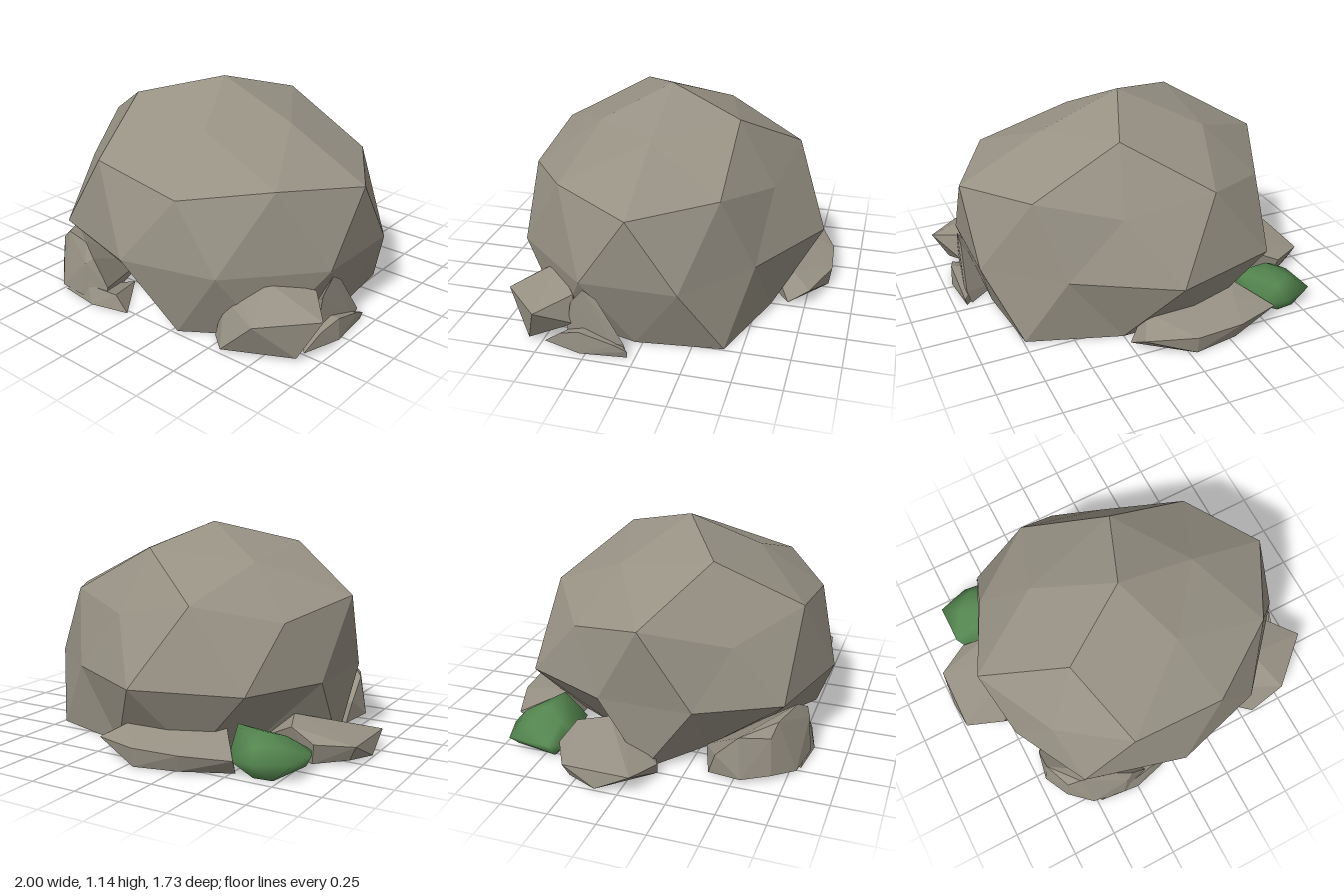
import * as THREE from 'three';
import { mergeVertices } from 'three/addons/utils/BufferGeometryUtils.js';
import { ConvexGeometry } from 'three/addons/geometries/ConvexGeometry.js';

const stone = new THREE.MeshStandardMaterial({ color: 0x979184, flatShading: true });
stone.name = 'stone';
const moss = new THREE.MeshStandardMaterial({ color: 0x54864f });
moss.name = 'moss green';

const hull = (points) => new ConvexGeometry(points.map((p) => new THREE.Vector3(...p)));

// Main boulder: faceted rings joined like a subdivided icosahedron, cut flat at the ground
function boulderGeometry() {
  const apex = [0.02, 1.14, 0.04];
  const crown = [[0.46, 0.97, 0.04], [0.18, 0.96, 0.39], [-0.38, 1.03, 0.29], [-0.37, 0.96, -0.21], [0.18, 1.02, -0.36]];
  const shoulder = [
    [0.915, 0.74, 0.04], [0.68, 0.785, 0.46], [0.28, 0.72, 0.73], [-0.24, 0.8, 0.73], [-0.58, 0.67, 0.45],
    [-0.805, 0.79, 0.04], [-0.62, 0.69, -0.37], [-0.23, 0.78, -0.63], [0.24, 0.69, -0.56], [0.65, 0.77, -0.36],
  ];
  const waist = [
    [0.9, 0.37, 0.29], [0.52, 0.37, 0.72], [0.02, 0.37, 0.86], [-0.53, 0.37, 0.71], [-0.75, 0.37, 0.3],
    [-0.75, 0.37, -0.2], [-0.55, 0.37, -0.65], [0.02, 0.37, -0.81], [0.53, 0.37, -0.52], [0.9, 0.37, -0.21],
  ];
  const foot = [
    [0.79, 0, 0.04], [0.66, 0, 0.48], [0.28, 0, 0.73], [-0.06, 0, 0.51], [-0.42, 0, 0.28],
    [-0.74, 0, 0.04], [-0.38, 0, -0.26], [-0.21, 0, -0.56], [0.25, 0, -0.57], [0.74, 0, -0.41],
  ];
  const out = [];
  const tri = (a, b, c) => out.push(...a, ...b, ...c);
  for (let i = 0; i < 5; i++) {
    const a = crown[i], b = crown[(i + 1) % 5];
    const s0 = shoulder[2 * i], s1 = shoulder[2 * i + 1], s2 = shoulder[(2 * i + 2) % 10];
    tri(apex, b, a);
    tri(a, s1, s0);
    tri(a, b, s1);
    tri(b, s2, s1);
  }
  for (let k = 0; k < 10; k++) {
    const n = (k + 1) % 10;
    tri(shoulder[k], shoulder[n], waist[k]);
    tri(shoulder[n], waist[n], waist[k]);
    tri(waist[k], waist[n], foot[n]);
    tri(waist[k], foot[n], foot[k]);
    tri([0, 0, 0], foot[k], foot[n]);
  }
  const g = new THREE.BufferGeometry();
  g.setAttribute('position', new THREE.Float32BufferAttribute(out, 3));
  g.computeVertexNormals();
  return g;
}

// Small stones around the foot, each the hull of a few corners
const stones = {
  frontRightStone: [
    [-0.71, 0.02, 0.54], [-0.68, 0.24, 0.52], [-0.62, 0.23, 0.67], [-0.64, 0.03, 0.68], [-0.52, 0.01, 0.785],
    [-0.31, 0.215, 0.8], [-0.34, 0.03, 0.82], [-0.55, 0.29, 0.69], [-0.36, 0.305, 0.745], [-0.27, 0.25, 0.78],
    [-0.18, 0.1, 0.77], [-0.2, 0, 0.78], [-0.68, 0.12, 0.4], [-0.66, 0, 0.36], [-0.45, 0, 0.78], [-0.4, 0, 0.27],
  ],
  frontChip: [[-0.48, 0.005, 0.8], [-0.3, 0.09, 0.8], [-0.12, 0.08, 0.77], [-0.04, 0, 0.77], [-0.25, 0, 0.825], [-0.25, 0, 0.5]],
  frontLeftStone: [
    [0.47, 0.2, 0.59], [0.47, 0.02, 0.66], [0.57, 0.02, 0.745], [0.55, 0.24, 0.58], [0.75, 0.2, 0.73],
    [0.66, 0.325, 0.5], [0.85, 0.27, 0.34], [1, 0.22, 0.5], [0.9, 0.015, 0.57], [0.88, 0.12, 0.33], [0.6, 0, 0.4],
  ],
  leftStone: [
    [0.9, 0.335, 0.27], [0.89, 0.25, 0.34], [0.9, 0.29, 0.2], [0.92, 0.07, 0.06], [0.92, 0.06, 0.12],
    [0.88, 0, 0.38], [0.9, 0, 0.05], [0.7, 0, 0.2],
  ],
  leftChip: [
    [0.95, 0.12, 0.28], [0.945, 0.07, 0.1], [0.94, 0.04, 0.035], [0.93, 0, 0.04], [0.955, 0, 0.28],
    [0.89, 0, 0.49], [0.92, 0.08, 0.39], [0.75, 0.1, 0.25], [0.7, 0, 0.25],
  ],
  rightStone: [
    [-0.98, 0.1, -0.3], [-0.94, 0.02, -0.28], [-0.8, 0.11, -0.4], [-0.78, 0, -0.37], [-1, 0.01, -0.12],
    [-0.985, 0.1, 0.06], [-0.78, 0.07, 0.13], [-0.75, 0, 0.12], [-0.74, 0.14, -0.05], [-0.66, 0.17, -0.36],
    [-0.6, 0.19, -0.2], [-0.35, 0, -0.17], [-0.5, 0, 0],
  ],
  backStone: [
    [-0.55, 0.09, -0.76], [-0.52, 0, -0.68], [-0.3, 0.1, -0.85], [-0.28, 0.01, -0.82], [-0.04, 0.1, -0.865],
    [-0.04, 0, -0.85], [0.22, 0.09, -0.77], [0.25, 0.02, -0.66], [0.12, 0.15, -0.66], [-0.35, 0.15, -0.66],
    [0.1, 0.17, -0.55], [-0.4, 0.17, -0.55], [0, 0, -0.5], [-0.35, 0, -0.5],
  ],
};

// Smooth moss clump, rounded and tucked under the boulder
function mossGeometry() {
  const g = hull([
    [-0.82, 0.09, -0.68], [-0.82, 0.08, -0.46], [-0.78, 0.08, -0.385], [-0.64, 0.08, -0.74], [-0.5, 0.08, -0.72],
    [-0.64, 0.08, -0.37], [-0.45, 0.08, -0.4], [-0.6, 0.19, -0.55], [-0.73, 0.14, -0.6], [-0.62, 0.15, -0.68],
    [-0.68, 0.15, -0.45], [-0.45, 0.2, -0.53], [-0.72, 0, -0.68], [-0.78, 0.01, -0.44], [-0.62, 0, -0.69],
    [-0.6, 0, -0.42], [-0.4, 0.02, -0.48],
  ]);
  g.deleteAttribute('normal');
  const smooth = mergeVertices(g);
  smooth.computeVertexNormals();
  return smooth;
}

export function createModel() {
  const group = new THREE.Group();
  group.name = 'boulder with stones';
  const add = (name, geometry, material) => {
    const mesh = new THREE.Mesh(geometry, material);
    mesh.name = name;
    group.add(mesh);
  };
  add('boulder', boulderGeometry(), stone);
  for (const [name, points] of Object.entries(stones)) add(name, hull(points), stone);
  add('mossClump', mossGeometry(), moss);
  return group;
}
